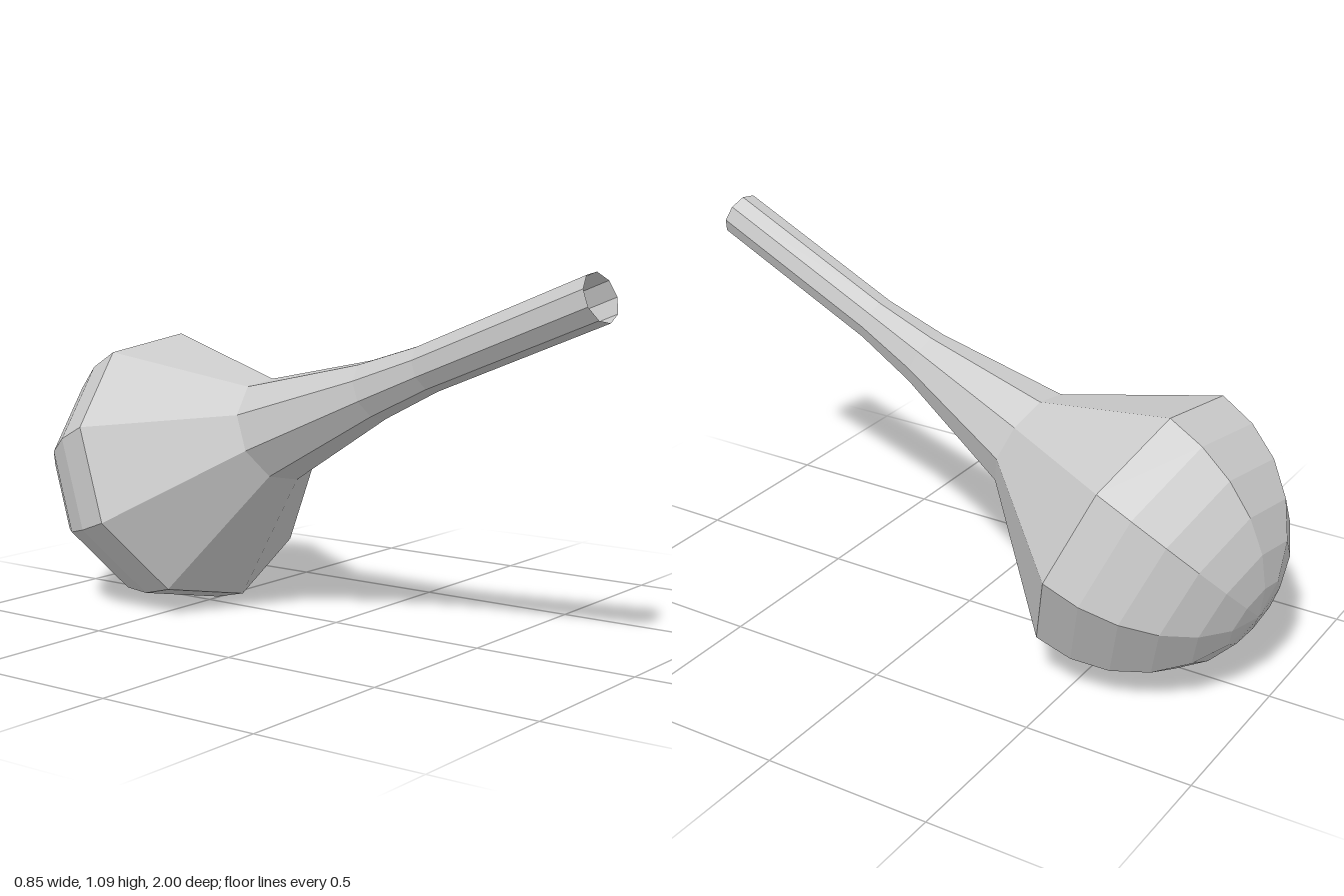
import * as THREE from 'three';

const SIDES = 9;
const PHASE = THREE.MathUtils.degToRad(-2);

export function createModel() {
  const model = new THREE.Group();
  const material = new THREE.MeshStandardMaterial({
    color: 0xcccccc, flatShading: true, side: THREE.DoubleSide,
  });

  // Everything is turned about one tilted axis through the widest ring
  const body = new THREE.Group();
  body.name = 'body';
  const axis = new THREE.Vector3(-0.179, 0.595, 1.53).normalize();
  const side = new THREE.Vector3(0, 1, 0).cross(axis).normalize();
  const up = axis.clone().cross(side);
  body.quaternion.setFromRotationMatrix(new THREE.Matrix4().makeBasis(up, axis, side));
  body.position.set(-0.006, 0.43, -0.555);
  model.add(body);

  // profile: [radius, distance along the axis]
  const turned = (name, profile) => {
    const points = profile.map(([r, t]) => new THREE.Vector2(r, t));
    const mesh = new THREE.Mesh(new THREE.LatheGeometry(points, SIDES, PHASE), material);
    mesh.name = name;
    body.add(mesh);
  };

  // Rounded back half, from the pole to the widest ring
  const radius = 0.435, depth = 0.445, steps = 6;
  const dome = [];
  for (let i = 0; i <= steps; i++) {
    const a = (i / steps) * Math.PI / 2;
    dome.push([radius * Math.sin(a), -depth * Math.cos(a)]);
  }
  turned('bulb', dome);

  // Cone narrowing from the bulb to the stem
  turned('shoulder', [[radius, 0], [0.16, 0.405]]);

  // Flared stem with an open end
  turned('stem', [[0.16, 0.405], [0.088, 0.825], [0.07, 1.04], [0.07, 1.651]]);

  return model;
}
